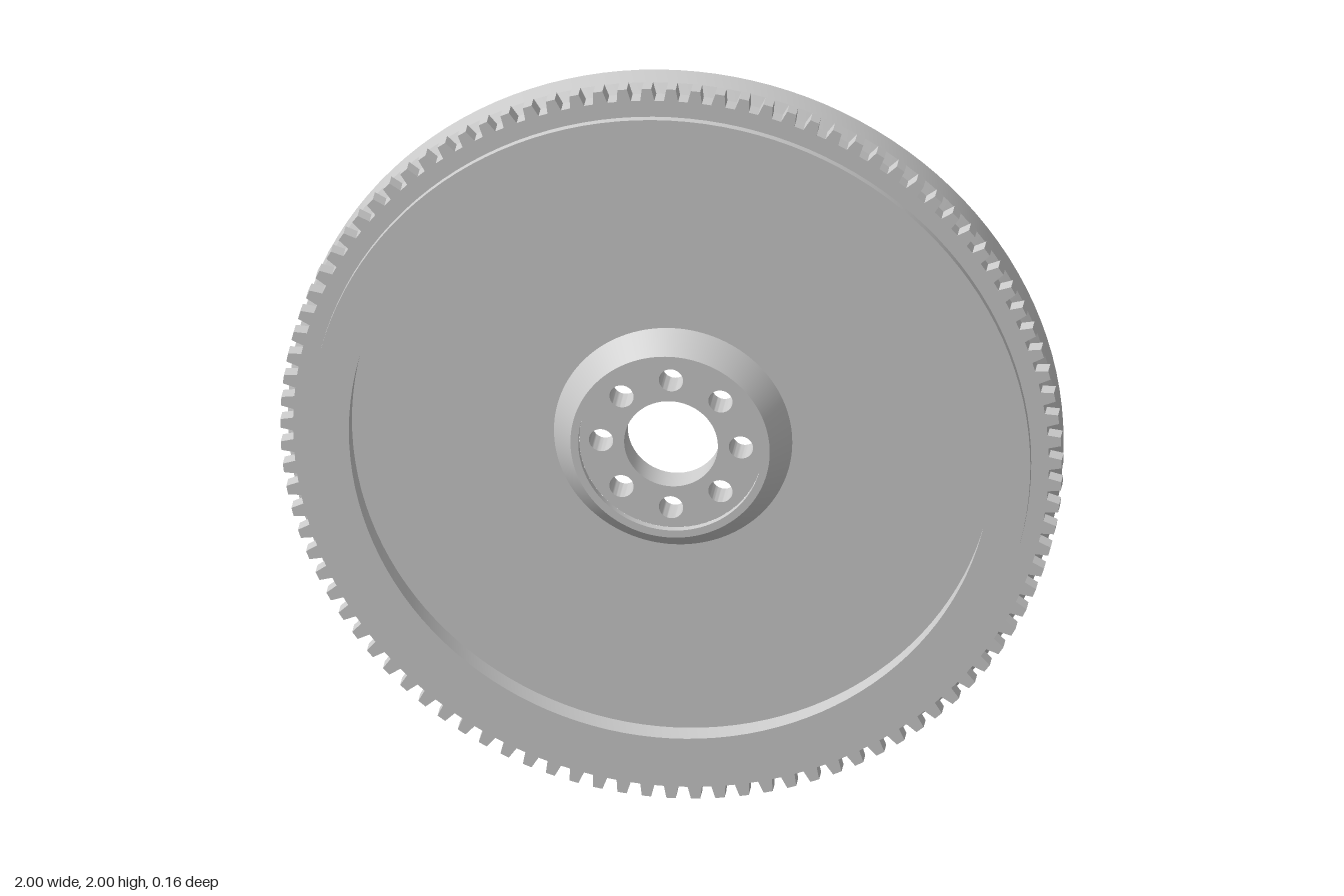
import * as THREE from 'three';
import { toCreasedNormals } from 'three/addons/utils/BufferGeometryUtils.js';

const SEGMENTS = 128;
const TEETH = 100;

function circleHole(shape, x, y, r) {
  const hole = new THREE.Path();
  hole.absarc(x, y, r, 0, Math.PI * 2, true);
  shape.holes.push(hole);
}

// Flat plate extruded along z between two depths
function plate(shape, back, front, curveSegments) {
  const geo = new THREE.ExtrudeGeometry(shape, { depth: front - back, bevelEnabled: false, curveSegments });
  geo.translate(0, 0, back);
  return toCreasedNormals(geo, 0.4);
}

export function createModel() {
  const model = new THREE.Group();
  model.name = 'flywheel';
  const material = new THREE.MeshStandardMaterial({ color: 0xcccccc });

  const add = (name, geometry) => {
    const mesh = new THREE.Mesh(geometry, material);
    mesh.name = name;
    mesh.position.y = 1;
    model.add(mesh);
  };

  // Turned disc: [radius, z] around the section, with dished back and raised hub
  const section = [
    [0.235, -0.02], [0.335, -0.02], [0.37, -0.08],
    [0.988, -0.08], [0.988, -0.005], [0.95, 0.02],
    [0.922, 0.02], [0.922, 0.08], [0.822, 0.08], [0.822, 0.015],
    [0.305, 0.015], [0.255, 0.08], [0.235, 0.08], [0.235, 0.06],
  ].map(([r, z]) => new THREE.Vector2(r, z));
  const disc = new THREE.LatheGeometry(section, SEGMENTS);
  disc.rotateX(Math.PI / 2);
  add('disc', toCreasedNormals(disc, 0.4));

  // Hub plate with centre bore and eight bolt holes
  const hub = new THREE.Shape();
  hub.absarc(0, 0, 0.235, 0, Math.PI * 2, false);
  circleHole(hub, 0, 0, 0.12);
  for (let i = 0; i < 8; i++) {
    const a = (i * Math.PI) / 4;
    circleHole(hub, 0.179 * Math.cos(a), 0.179 * Math.sin(a), 0.031);
  }
  add('hubPlate', plate(hub, -0.02, 0.06, 32));

  // Ring gear with tapered teeth
  const ring = new THREE.Shape();
  const root = 0.967;
  const toothPoints = [[-0.3, root], [-0.19, 1], [0.19, 1], [0.3, root]];
  for (let i = 0; i < TEETH; i++) {
    toothPoints.forEach(([offset, r], j) => {
      const a = Math.PI / 2 + ((i + offset) * Math.PI * 2) / TEETH;
      const x = r * Math.cos(a), y = r * Math.sin(a);
      if (i + j === 0) ring.moveTo(x, y);
      else ring.lineTo(x, y);
    });
  }
  ring.closePath();
  circleHole(ring, 0, 0, 0.92);
  add('ringGear', plate(ring, 0.018, 0.06, SEGMENTS / 2));

  return model;
}
